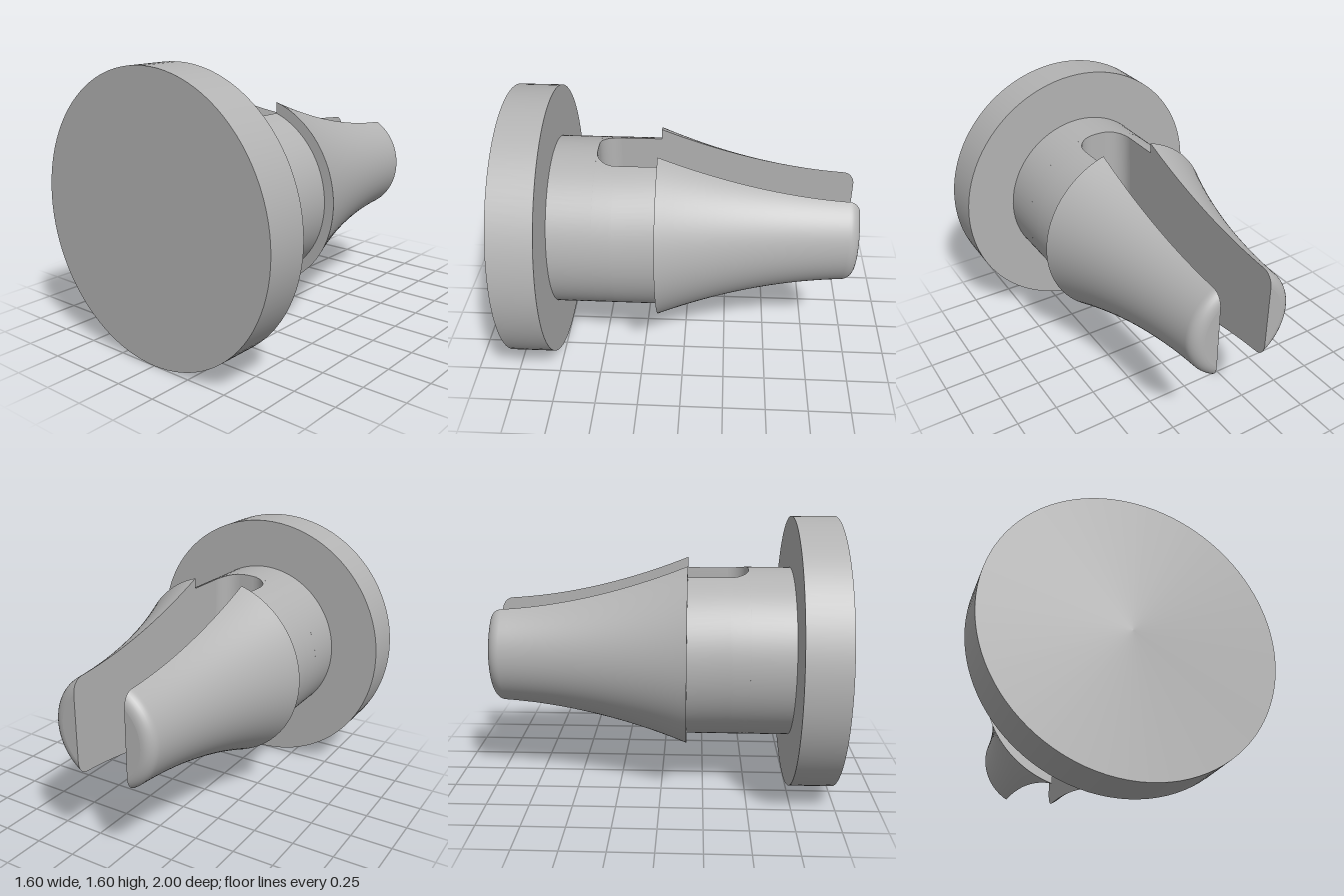
import * as THREE from 'three';

const SLOT = 0.16;      // half width of the slot
const FLOOR = 0.5;      // z of the slot floor
const CORNER = 0.11;    // rounding of the slot floor
const STEP = 0.15;      // z of the barb shoulder
const COLS = 40;

// Smooth surface through rows of equally many points
function patch(rows) {
  const n = rows[0].length, index = [];
  for (let i = 0; i < rows.length - 1; i++) {
    for (let j = 0; j < n - 1; j++) {
      const a = i * n + j, b = a + n;
      index.push(a, b, b + 1, a, b + 1, a + 1);
    }
  }
  const g = new THREE.BufferGeometry();
  g.setAttribute('position', new THREE.Float32BufferAttribute(rows.flat(2), 3));
  g.setIndex(index);
  g.computeVertexNormals();
  return g;
}

// Sections are [z, radius, inner x]; each is a circle cut off by the slot wall
function arc([z, r, h]) {
  const a = Math.acos(h / r);
  return Array.from({ length: COLS + 1 }, (_, j) => {
    const t = a * (2 * j / COLS - 1);
    return [r * Math.cos(t), r * Math.sin(t), z];
  });
}
const chord = (s) => arc(s).map(([, y, z]) => [s[2], y, z]);

function createProng(material) {
  // Shaft part, beside the rounded slot floor
  const shaft = [];
  for (let i = 0; i <= 10; i++) {
    const t = (i / 10) * Math.PI / 2;
    shaft.push([FLOOR - CORNER * (1 - Math.cos(t)), 0.5, SLOT - CORNER * (1 - Math.sin(t))]);
  }
  shaft.push([STEP, 0.5, SLOT]);

  // Flared barb, then the rounded tip
  const barb = [];
  for (let i = 0; i <= 24; i++) {
    const t = 1 - i / 24;
    barb.push([-0.93 + 1.08 * t, 0.32 + 0.06 * t + 0.18 * t * t, SLOT]);
  }
  for (let i = 1; i <= 8; i++) {
    const t = (i / 8) * Math.PI / 2;
    barb.push([-0.93 - 0.07 * Math.sin(t), 0.25 + 0.07 * Math.cos(t), SLOT]);
  }
  const tip = barb[barb.length - 1];

  const prong = new THREE.Group();
  const add = (name, rows) => {
    const mesh = new THREE.Mesh(patch(rows), material);
    mesh.name = name;
    prong.add(mesh);
  };
  add('prongShaft', shaft.map(arc));
  add('barbShoulder', [arc(shaft[shaft.length - 1]), arc(barb[0])]);
  add('barb', barb.map(arc));
  add('prongTip', [arc(tip), chord(tip)]);
  add('slotCorner', shaft.slice(0, -1).map((s) => chord(s).reverse()));
  add('slotWall', [...shaft.slice(-2), ...barb].map((s) => chord(s).reverse()));
  return prong;
}

export function createModel() {
  const model = new THREE.Group();
  const grey = new THREE.MeshStandardMaterial({ color: 0xb3b3b3 });
  grey.name = 'grey plastic';

  // Discs along the z axis
  const disc = (name, radius, z0, z1) => {
    const g = new THREE.CylinderGeometry(radius, radius, z1 - z0, 96);
    g.rotateX(Math.PI / 2).translate(0, 0.8, (z0 + z1) / 2);
    const mesh = new THREE.Mesh(g, grey);
    mesh.name = name;
    model.add(mesh);
  };
  disc('head', 0.8, 0.75, 1);
  disc('shaft', 0.5, FLOOR, 0.75);

  // Two opposite prongs
  ['leftProng', 'rightProng'].forEach((name, i) => {
    const prong = createProng(grey);
    prong.name = name;
    prong.position.y = 0.8;
    prong.rotation.z = i * Math.PI;
    model.add(prong);
  });
  return model;
}
